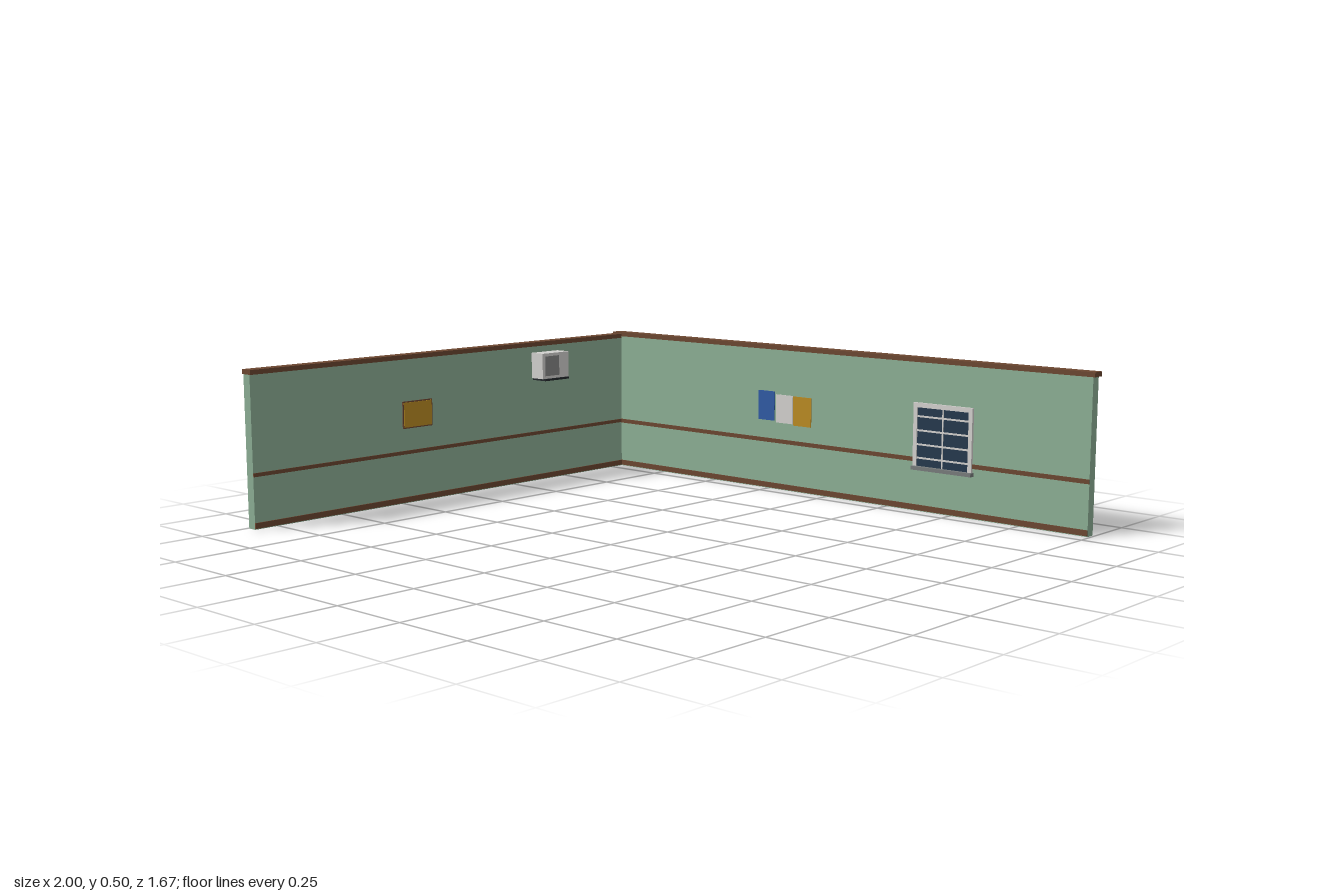
import * as THREE from 'three';

const mat = (name, color) => {
  const m = new THREE.MeshStandardMaterial({ color });
  m.name = name;
  return m;
};

export function createModel() {
  const green = mat('wall green', 0x8cae94);
  const brown = mat('trim brown', 0x6b4630);
  const white = mat('off white', 0xd2d0ce);
  const grey = mat('grille grey', 0x858585);
  const sillGrey = mat('sill grey', 0x777b7b);
  const dark = mat('dark base', 0x22272b);
  const glass = mat('window glass', 0x23384c);
  const blue = mat('poster blue', 0x2f5aa4);
  const gold = mat('poster gold', 0xb98a22);

  const model = new THREE.Group();
  model.name = 'roomCorner';

  // Box given by its lower and upper limits on each axis
  const box = (parent, name, material, [x0, x1], [y0, y1], [z0, z1]) => {
    const mesh = new THREE.Mesh(new THREE.BoxGeometry(x1 - x0, y1 - y0, z1 - z0), material);
    mesh.position.set((x0 + x1) / 2, (y0 + y1) / 2, (z0 + z1) / 2);
    mesh.name = name;
    parent.add(mesh);
    return mesh;
  };
  const group = (name) => {
    const g = new THREE.Group();
    g.name = name;
    model.add(g);
    return g;
  };

  const BZ = -0.8;    // inner face of the back wall
  const SX = -0.963;  // inner face of the side wall

  // Back wall with cap, rail and skirting
  const back = group('backWall');
  box(back, 'backPanel', green, [-0.995, 0.992], [0, 0.49], [-0.832, BZ]);
  box(back, 'backCap', brown, [-1, 1], [0.488, 0.503], [-0.836, -0.795]);
  box(back, 'backRail', brown, [SX, 0.992], [0.163, 0.177], [BZ, BZ + 0.003]);
  box(back, 'backSkirting', brown, [SX, 0.992], [0.003, 0.021], [BZ, BZ + 0.004]);

  // Side wall with cap, rail and skirting
  const side = group('sideWall');
  box(side, 'sidePanel', green, [-0.995, SX], [0, 0.484], [BZ, 0.835]);
  box(side, 'sideCap', brown, [-1, -0.958], [0.482, 0.497], [-0.795, 0.836]);
  box(side, 'sideRail', brown, [SX, SX + 0.003], [0.165, 0.177], [BZ, 0.835]);
  box(side, 'sideSkirting', brown, [SX, SX + 0.004], [0.003, 0.021], [BZ, 0.835]);

  // Window: pane, frame, glazing bars and sill
  const win = group('window');
  box(win, 'pane', glass, [0.366, 0.576], [0.148, 0.35], [BZ, BZ + 0.005]);
  const frameZ = [BZ, BZ + 0.009];
  box(win, 'frameLeft', white, [0.566, 0.58], [0.144, 0.357], frameZ);
  box(win, 'frameRight', white, [0.357, 0.371], [0.144, 0.357], frameZ);
  box(win, 'frameTop', white, [0.371, 0.566], [0.342, 0.357], frameZ);
  const barZ = [BZ, BZ + 0.007];
  box(win, 'mullion', white, [0.466, 0.471], [0.15, 0.342], barZ);
  for (const y of [0.177, 0.221, 0.267, 0.313]) {
    box(win, 'glazingBar', white, [0.371, 0.566], [y - 0.003, y + 0.003], barZ);
  }
  box(win, 'sill', sillGrey, [0.357, 0.585], [0.138, 0.15], [BZ, BZ + 0.02]);

  // Three posters on the back wall
  const posters = group('posters');
  const posterZ = [BZ, BZ + 0.003];
  box(posters, 'bluePoster', blue, [-0.296, -0.226], [0.24, 0.342], posterZ);
  box(posters, 'whitePoster', white, [-0.218, -0.145], [0.235, 0.333], posterZ);
  box(posters, 'goldPoster', gold, [-0.143, -0.066], [0.231, 0.332], posterZ);

  // Framed notice board on the side wall
  const board = group('noticeBoard');
  box(board, 'boardFrame', brown, [SX, SX + 0.003], [0.251, 0.342], [0.12, 0.246]);
  box(board, 'boardFace', gold, [SX, SX + 0.005], [0.255, 0.338], [0.124, 0.242]);

  // Air conditioner on the side wall
  const ac = group('airConditioner');
  box(ac, 'acBody', white, [SX, -0.907], [0.37, 0.46], [-0.469, -0.342]);
  box(ac, 'acGrille', grey, [-0.907, -0.904], [0.38, 0.45], [-0.42, -0.353]);
  box(ac, 'acBase', dark, [SX, -0.9], [0.363, 0.37], [-0.464, -0.348]);

  return model;
}
